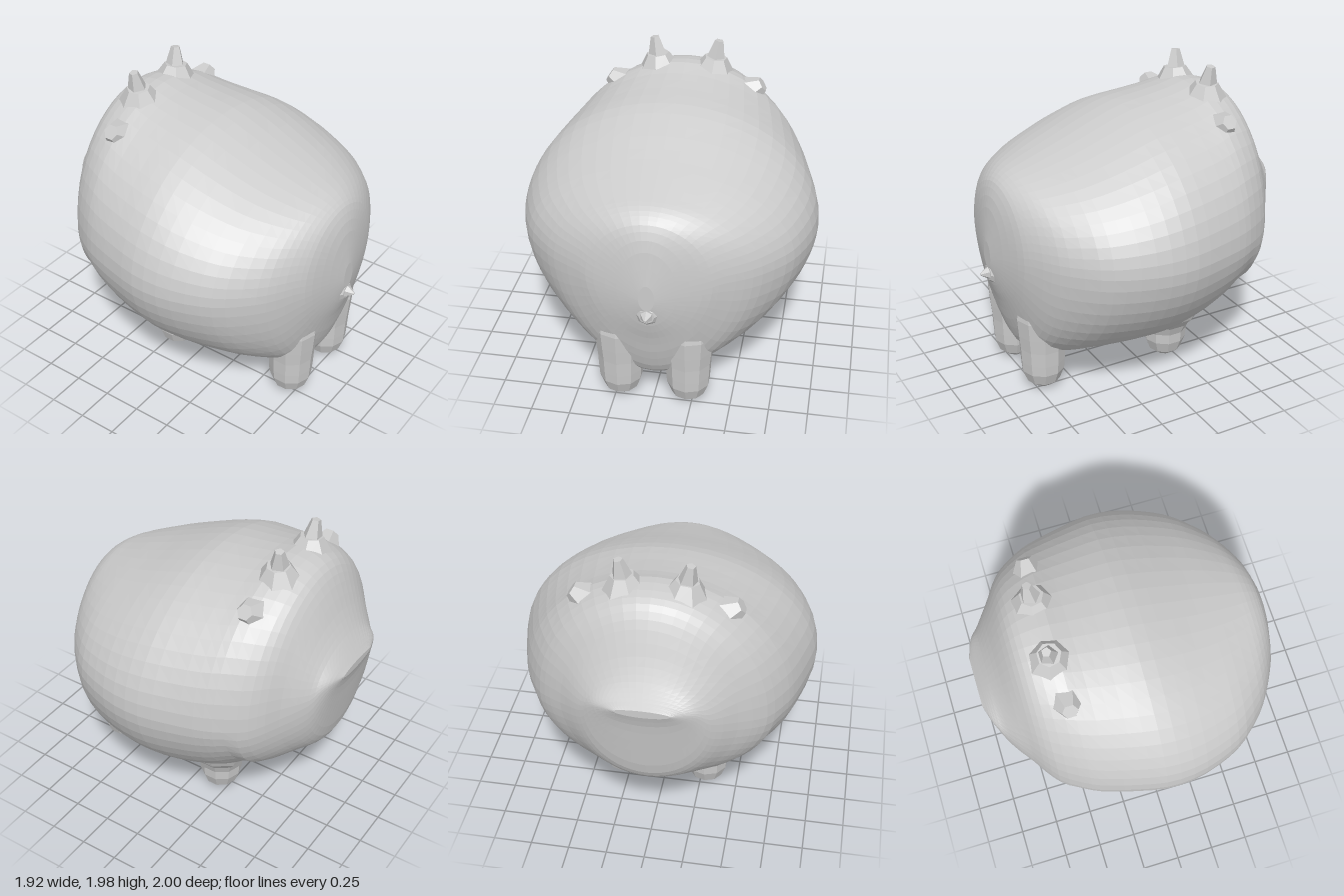
import * as THREE from 'three';

const mat = new THREE.MeshStandardMaterial({ color: 0xcccccc, flatShading: true, side: THREE.DoubleSide });

// Body stations from face to tail: z, half width, top y, bottom y, y of widest point
const stations = [
  [-1, 0.17, 1.23, 1.18, 1.21], [-0.97, 0.27, 1.28, 1.08, 1.2], [-0.94, 0.33, 1.33, 0.9, 1.17],
  [-0.9, 0.39, 1.4, 0.67, 1.1], [-0.85, 0.46, 1.5, 0.575, 1.07], [-0.78, 0.55, 1.66, 0.525, 1.04],
  [-0.72, 0.64, 1.76, 0.49, 1.02], [-0.64, 0.73, 1.81, 0.44, 1], [-0.5, 0.82, 1.83, 0.36, 1],
  [-0.38, 0.87, 1.8, 0.27, 1], [-0.2, 0.92, 1.77, 0.2, 1], [0, 0.96, 1.74, 0.17, 1],
  [0.2, 0.95, 1.67, 0.17, 1], [0.4, 0.89, 1.59, 0.17, 1], [0.55, 0.81, 1.535, 0.17, 1],
  [0.7, 0.67, 1.48, 0.19, 1], [0.78, 0.56, 1.45, 0.25, 1], [0.84, 0.45, 1.41, 0.4, 1],
  [0.88, 0.36, 1.36, 0.55, 0.98], [0.92, 0.2, 1.24, 0.68, 0.95], [0.95, 0.05, 1.0, 0.82, 0.9],
];

// Superellipse sections lofted along z, closed with a pole at each end
function bodyGeometry(rows = 44, cols = 52) {
  const curve = (f) => new THREE.CatmullRomCurve3(stations.map(f), false, 'catmullrom', 0.5);
  const size = curve((s) => new THREE.Vector3(s[1], s[2], s[3]));
  const place = curve((s) => new THREE.Vector3(s[0], s[4], 0));
  const pos = [], index = [];
  for (let i = 0; i <= rows; i++) {
    const { x: w, y: top, z: bottom } = size.getPoint(i / rows);
    const { x: z, y: mid } = place.getPoint(i / rows);
    for (let j = 0; j < cols; j++) {
      const a = (j / cols) * Math.PI * 2, c = Math.cos(a), s = Math.sin(a);
      const e = s >= 0 || z < -0.6 ? 1 : 2 / 1.8; // lower half tapers a little more
      const x = Math.sign(c) * Math.abs(c) ** e * w;
      const y = Math.sign(s) * Math.abs(s) ** e * (s >= 0 ? top - mid : mid - bottom);
      pos.push(x, mid + y, z);
    }
  }
  for (let i = 0; i < rows; i++) {
    for (let j = 0; j < cols; j++) {
      const k = (j + 1) % cols;
      const a = i * cols + j, b = i * cols + k, c = a + cols, d = b + cols;
      index.push(a, b, d, a, d, c);
    }
  }
  const first = pos.length / 3, last = first + 1;
  pos.push(0, 1.21, -1, 0, 0.9, 0.95);
  for (let j = 0; j < cols; j++) {
    const k = (j + 1) % cols;
    index.push(first, k, j, last, rows * cols + j, rows * cols + k);
  }
  const g = new THREE.BufferGeometry();
  g.setAttribute('position', new THREE.Float32BufferAttribute(pos, 3));
  g.setIndex(index);
  g.computeVertexNormals();
  return g;
}

// Tapered low-sided stub between two points
function stub(name, from, to, r0, r1, sides) {
  const a = new THREE.Vector3(...from), b = new THREE.Vector3(...to);
  const dir = b.clone().sub(a);
  const mesh = new THREE.Mesh(new THREE.CylinderGeometry(r1, r0, dir.length(), sides), mat);
  mesh.position.copy(a).add(b).multiplyScalar(0.5);
  mesh.quaternion.setFromUnitVectors(new THREE.Vector3(0, 1, 0), dir.normalize());
  mesh.name = name;
  return mesh;
}

// Rounded foot flaring upward into the belly
function leg(name, x, y, z, profile) {
  const points = profile.map(([r, h]) => new THREE.Vector2(r, h));
  const mesh = new THREE.Mesh(new THREE.LatheGeometry(points, 10), mat);
  mesh.position.set(x, y, z);
  mesh.name = name;
  return mesh;
}

export function createModel() {
  const model = new THREE.Group();
  model.name = 'creature';

  const body = new THREE.Mesh(bodyGeometry(), mat);
  body.name = 'body';
  model.add(body);

  const foot = [[0, 0], [0.06, 0.01], [0.11, 0.05], [0.14, 0.13], [0.145, 0.2]];
  const tailLeg = [...foot, [0.15, 0.3], [0.16, 0.4], [0.17, 0.52], [0.15, 0.65]];
  const headLeg = [...foot, [0.17, 0.26], [0.23, 0.33], [0.27, 0.42]];

  for (const s of [1, -1]) {
    const side = s > 0 ? 'left' : 'right';
    model.add(
      leg(side + 'TailEndLeg', s * 0.22, 0, 0.69, tailLeg),
      leg(side + 'HeadEndLeg', s * 0.29, 0.02, -0.19, headLeg),
      // Horn with a flared root
      stub(side + 'HornRoot', [s * 0.18, 1.73, -0.53], [s * 0.195, 1.86, -0.53], 0.16, 0.075, 7),
      stub(side + 'Horn', [s * 0.18, 1.76, -0.53], [s * 0.215, 1.97, -0.545], 0.09, 0.03, 5),
      // Ear knob pointing outward
      stub(side + 'Ear', [s * 0.38, 1.61, -0.5], [s * 0.515, 1.7, -0.5], 0.14, 0.05, 6),
    );
  }

  model.add(
    stub('tailRoot', [0, 0.78, 0.86], [0, 0.78, 0.95], 0.14, 0.05, 8),
    stub('tail', [0, 0.78, 0.9], [0, 0.78, 1], 0.075, 0.008, 6),
  );
  return model;
}
